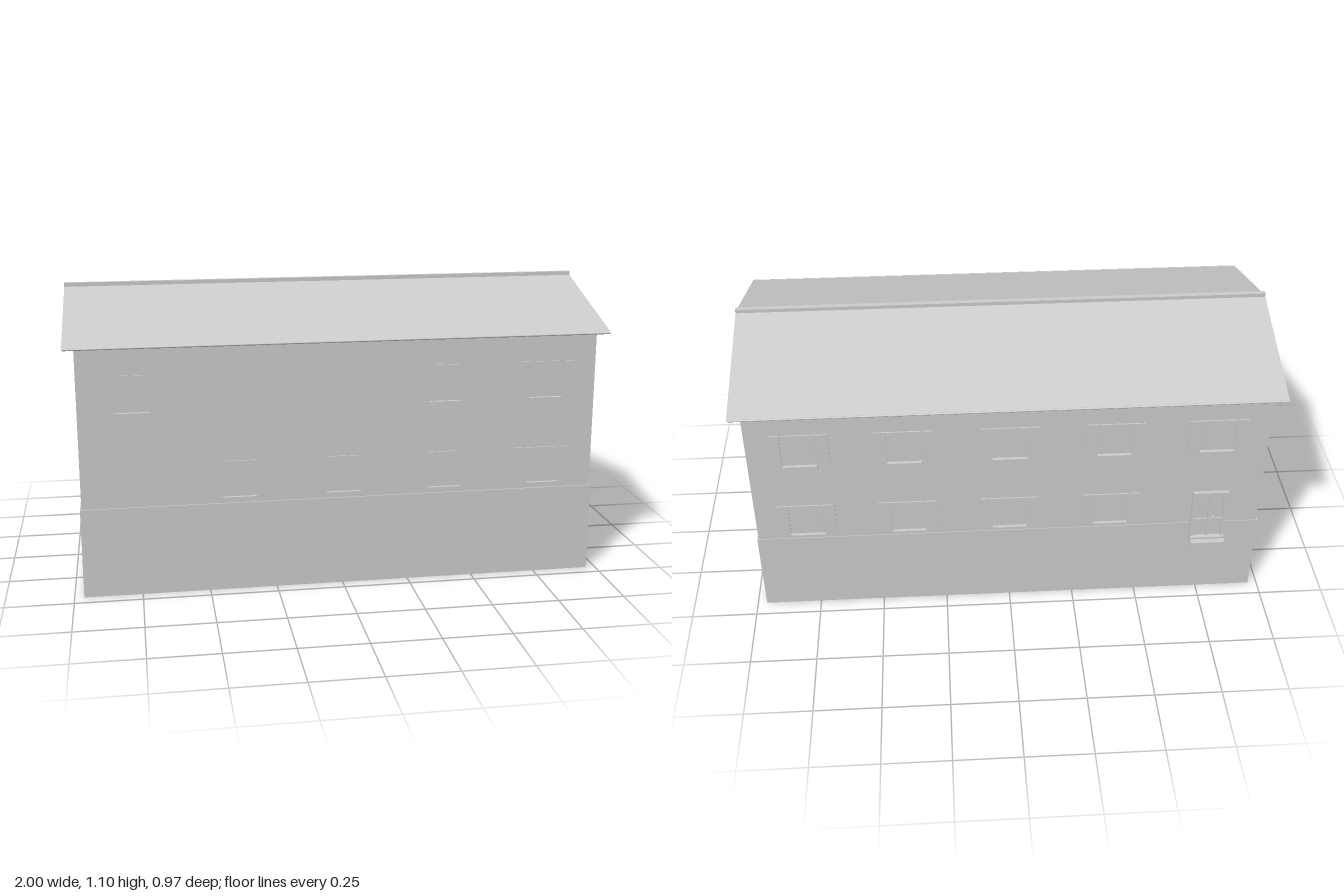
import * as THREE from 'three';

const plaster = new THREE.MeshStandardMaterial({ color: 0xcccccc });
plaster.name = 'plaster grey';

// Box given by its min and max on each axis
function block(parent, name, [x0, x1], [y0, y1], [z0, z1]) {
  const mesh = new THREE.Mesh(new THREE.BoxGeometry(x1 - x0, y1 - y0, z1 - z0), plaster);
  mesh.position.set((x0 + x1) / 2, (y0 + y1) / 2, (z0 + z1) / 2);
  mesh.name = name;
  parent.add(mesh);
  return mesh;
}

// Window facing +z, origin at the middle of its sill on the wall face
function makeWindow(shutters) {
  const g = new THREE.Group();
  g.name = 'window';
  block(g, 'windowPane', [-0.062, 0.062], [0, 0.14], [-0.004, 0.002]);
  block(g, 'windowSill', [-0.064, 0.064], [-0.004, 0.004], [-0.004, 0.015]);
  block(g, 'windowHead', [-0.064, 0.064], [0.136, 0.14], [-0.004, 0.005]);
  for (const s of [-1, 1]) {
    const side = shutters ? [0.065, 0.11] : [0.06, 0.064];
    const span = s > 0 ? side : [-side[1], -side[0]];
    block(g, shutters ? 'shutter' : 'windowJamb', span, [0, 0.14], [-0.004, 0.005]);
  }
  return g;
}

// Door facing +z, origin at the middle of its threshold on the wall face
function makeDoor() {
  const g = new THREE.Group();
  g.name = 'door';
  block(g, 'doorPanel', [-0.06, 0.06], [0.015, 0.23], [-0.005, 0.004]);
  for (const s of [-1, 1]) {
    block(g, 'doorJamb', [s * 0.06 - 0.008, s * 0.06 + 0.008], [0.02, 0.235], [-0.005, 0.012]);
  }
  block(g, 'doorHead', [-0.052, 0.052], [0.219, 0.235], [-0.005, 0.012]);
  block(g, 'doorMullion', [-0.005, 0.005], [0.02, 0.22], [0, 0.009]);
  block(g, 'doorRail', [-0.052, 0.052], [0.095, 0.105], [0, 0.009]);
  block(g, 'doorHandle', [0.012, 0.02], [0.112, 0.118], [0, 0.015]);
  block(g, 'upperStep', [-0.066, 0.066], [0.012, 0.02], [-0.005, 0.023]);
  block(g, 'lowerStep', [-0.066, 0.066], [0, 0.012], [-0.005, 0.046]);
  return g;
}

export function createModel() {
  const house = new THREE.Group();
  house.name = 'house';

  // Walls
  block(house, 'baseWall', [-0.965, 0.965], [0, 0.337], [-0.44, 0.45]);
  block(house, 'upperWall', [-0.96, 0.96], [0.337, 0.942], [-0.437, 0.444]);

  // Solid gabled roof, profile drawn across z and extruded along x
  const profile = new THREE.Shape([
    [0, 1.088], [-0.483, 0.938], [-0.483, 0.934], [-0.445, 0.94],
    [0.445, 0.94], [0.483, 0.934], [0.483, 0.938],
  ].map(([z, y]) => new THREE.Vector2(z, y)));
  const roofGeo = new THREE.ExtrudeGeometry(profile, { depth: 2, bevelEnabled: false });
  roofGeo.translate(0, 0, -1).rotateY(Math.PI / 2);
  const roof = new THREE.Mesh(roofGeo, plaster);
  roof.name = 'roof';
  house.add(roof);
  block(house, 'ridgeCap', [-1, 1], [1.075, 1.099], [-0.009, 0.011]);

  // Gutters
  for (const s of [-1, 1]) {
    const gutter = new THREE.Mesh(new THREE.CylinderGeometry(0.004, 0.004, 1.99, 10), plaster);
    gutter.rotation.z = Math.PI / 2;
    gutter.position.set(0, 0.936, s * 0.481);
    gutter.name = 'gutter';
    house.add(gutter);
  }

  // Windows on both long walls
  const cols = [-0.768, -0.385, 0, 0.385, 0.768];
  const upper = 0.69, lower = 0.358;
  const place = (x, y, back, shutters) => {
    const w = makeWindow(shutters);
    w.position.set(x, y, back ? -0.437 : 0.444);
    if (back) w.rotation.y = Math.PI;
    house.add(w);
  };
  for (const i of [0, 3, 4]) place(cols[i], upper, false, i === 4);
  for (const i of [1, 2, 3, 4]) place(cols[i], lower, false, i === 4);
  for (const x of cols) place(x, upper, true, true);
  for (const x of cols.slice(1)) place(x, lower, true, true);

  // Back door
  const door = makeDoor();
  door.position.set(-0.768, 0.257, -0.439);
  door.rotation.y = Math.PI;
  house.add(door);

  return house;
}
